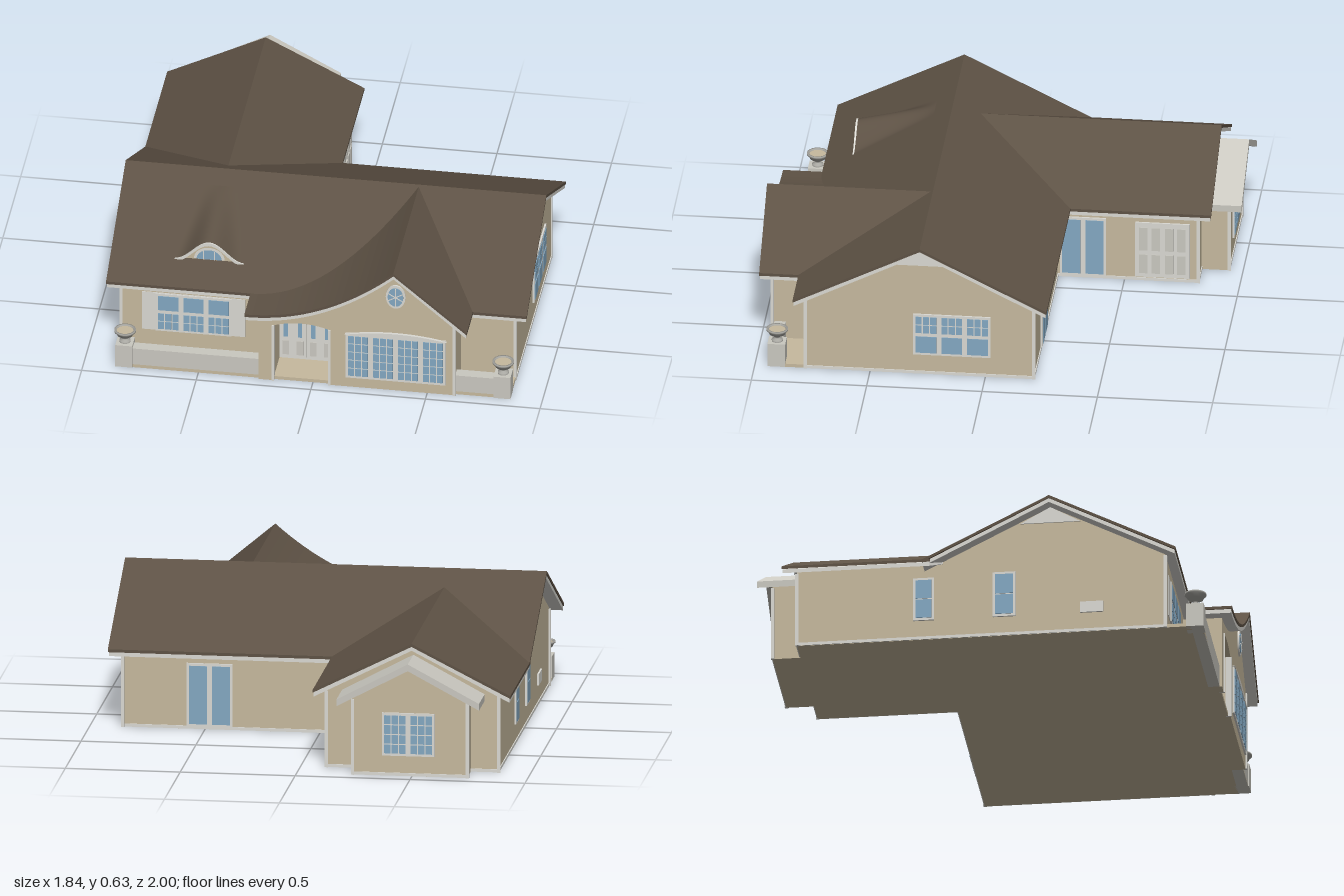
import * as THREE from 'three';
import { ParametricGeometry } from 'three/addons/geometries/ParametricGeometry.js';

const mat = (name, color, side = THREE.FrontSide) => {
  const m = new THREE.MeshStandardMaterial({ color, side });
  m.name = name;
  return m;
};

export function createModel() {
  const house = new THREE.Group();
  house.name = 'house';
  const wall = mat('tan stucco', 0xc6b99e);
  const roof = mat('brown shingle', 0x5e5245, THREE.DoubleSide);
  const trim = mat('white trim', 0xdad9d3);
  const stone = mat('pale stone', 0xcac8c0);
  const glass = mat('blue glass', 0x83a8c2);
  const urnGrey = mat('urn grey', 0xa9a8a2, THREE.DoubleSide);

  const add = (name, geo, m, parent = house) => {
    const mesh = new THREE.Mesh(geo, m);
    mesh.name = name;
    parent.add(mesh);
    return mesh;
  };
  // Box given by its two extreme corners
  const box = (name, m, x0, x1, y0, y1, z0, z1, parent = house) =>
    add(name, new THREE.BoxGeometry(x1 - x0, y1 - y0, z1 - z0)
      .translate((x0 + x1) / 2, (y0 + y1) / 2, (z0 + z1) / 2), m, parent);
  const shapeOf = pts => new THREE.Shape(pts.map(p => new THREE.Vector2(p[0], p[1])));
  const extrude = (shape, z0, z1) =>
    new THREE.ExtrudeGeometry(shape, { depth: z1 - z0, bevelEnabled: false, curveSegments: 16 }).translate(0, 0, z0);

  // Sheet that follows a roof profile, from `a` to `b` below its surface
  const sheet = (pts, a, b, z0, z1) => extrude(shapeOf([
    ...pts.map(p => [p[0], p[1] - a]),
    ...pts.slice().reverse().map(p => [p[0], p[1] - b])]), z0, z1);
  // Shingle layer with a trim layer (fascia and soffit) under it
  const roofPair = (name, pts, z0, z1, edit) => {
    const n = pts.length - 1;
    const inner = pts.map((p, i) => i === 0 ? [p[0] + 0.004, p[1]] : i === n ? [p[0] - 0.004, p[1]] : p);
    const top = sheet(pts, 0, 0.013, z0, z1);
    const under = sheet(inner, 0.013, 0.031, z0 + 0.004, z1 - 0.004);
    [top, under].forEach(edit);
    add(name + 'Shingles', top, roof);
    add(name + 'Fascia', under, trim);
  };
  // Pull one end of a roof back to the slope of the main roof
  const meetMain = (geo, side) => {
    const p = geo.attributes.position;
    for (let i = 0; i < p.count; i++) {
      const z = p.getZ(i), run = Math.max(0, (p.getY(i) - 0.355) * 2);
      if (side > 0 && z < 0.5) p.setZ(i, Math.max(0.28, 0.80 - run));
      if (side < 0 && z > 0) p.setZ(i, Math.min(0.28, -0.24 + run));
    }
    geo.computeVertexNormals();
  };

  // Main block, ridge along x
  const turn = g => g.rotateY(Math.PI / 2);
  add('mainWalls', turn(extrude(shapeOf([[-0.78, 0], [0.21, 0], [0.21, 0.352], [-0.28, 0.601], [-0.78, 0.352]]), -0.86, 0.86)), wall);
  roofPair('mainRoof', [[-0.83, 0.355], [-0.28, 0.63], [0.27, 0.355]], -0.92, 0.915, turn);
  for (const s of [-1, 1]) {
    const z = s > 0 ? 0.86 : -0.865;
    add('gableVent', turn(extrude(shapeOf([[-0.41, 0.525], [-0.15, 0.525], [-0.28, 0.598]]), z, z + 0.005)), trim);
  }

  // Back wing, ridge along z
  add('wingWalls', extrude(shapeOf([[-0.86, 0], [-0.11, 0], [-0.11, 0.349], [-0.49, 0.541], [-0.86, 0.354]]), -0.82, 0.1), wall);
  roofPair('wingRoof', [[-0.92, 0.355], [-0.49, 0.572], [-0.06, 0.355]], -0.88, 0.2, g => meetMain(g, -1));

  // Small bay behind the wing, with a pale roof
  add('bayWalls', extrude(shapeOf([[-0.74, 0], [-0.24, 0], [-0.24, 0.346], [-0.49, 0.481], [-0.74, 0.346]]), -0.94, -0.8), wall);
  add('bayRoof', sheet([[-0.8, 0.345], [-0.49, 0.51], [-0.18, 0.345]], 0, 0.03, -1, -0.81), stone);

  // Front gable: a long concave sweep on one side, straight on the other
  const sweepY = x => x > 0.36 ? 0.625 - (x - 0.36) * 0.844 : 0.355 + 0.27 * Math.pow((x + 0.29) / 0.65, 2.1);
  const sweep = (x0, x1, drop) => {
    const pts = [];
    for (let i = 0; i <= 20; i++) {
      const x = x0 + (0.36 - x0) * i / 20;
      pts.push([x, sweepY(x) - drop]);
    }
    return [...pts, [x1, sweepY(x1) - drop]];
  };
  roofPair('frontGableRoof', sweep(-0.29, 0.68, 0), 0.29, 1, g => meetMain(g, 1));
  const face = new THREE.Shape();
  face.moveTo(-0.235, 0).lineTo(-0.17, 0).lineTo(-0.17, 0.28);
  face.quadraticCurveTo(-0.05, 0.32, 0.07, 0.28).lineTo(0.07, 0).lineTo(0.62, 0);
  sweep(-0.235, 0.62, 0.03).reverse().forEach(p => face.lineTo(p[0], p[1]));
  add('frontGableWalls', extrude(face, 0.77, 0.95), wall);

  // Openings are built facing +z, then placed on a wall
  const place = (name, x, y, z, rot = 0) => {
    const g = new THREE.Group();
    g.name = name;
    g.position.set(x, y, z);
    g.rotation.y = rot;
    house.add(g);
    return g;
  };
  // Frame board with a grid of glass panes for each unit
  const panes = (g, x0, x1, y0, y1, units, cols, rows, border = 0.011, bar = 0.005) => {
    box('frame', trim, x0, x1, y0, y1, -0.004, 0.008, g);
    const uw = (x1 - x0) / units;
    const cw = (uw - 2 * border + bar) / cols, ch = (y1 - y0 - 2 * border + bar) / rows;
    for (let u = 0; u < units; u++) for (let c = 0; c < cols; c++) for (let r = 0; r < rows; r++) {
      const x = x0 + u * uw + border + c * cw, y = y0 + border + r * ch;
      box('pane', glass, x, x + cw - bar, y, y + ch - bar, 0.006, 0.011, g);
    }
  };
  const R = Math.PI / 2;

  const leftWin = place('leftFrontWindow', -0.545, 0.1, 0.78);
  box('surround', trim, -0.225, 0.225, 0, 0.19, -0.004, 0.003, leftWin);
  panes(leftWin, -0.165, 0.165, 0, 0.1, 3, 3, 2);
  panes(leftWin, -0.165, 0.165, 0.095, 0.188, 3, 1, 1);

  const big = place('frontWindowRow', 0.363, 0.05, 0.95);
  panes(big, -0.218, 0.218, 0, 0.225, 4, 3, 5, 0.012);
  const head = new THREE.Shape();
  head.moveTo(-0.222, 0.22).lineTo(0.222, 0.22).quadraticCurveTo(0, 0.265, -0.222, 0.22);
  add('archedHeader', extrude(head, -0.002, 0.012), trim, big);

  const side = place('sideWindow', 0.86, 0.095, 0.145, R);
  panes(side, -0.168, 0.168, 0, 0.1, 3, 1, 1);
  panes(side, -0.168, 0.168, 0.095, 0.195, 3, 3, 2);

  panes(place('wingSlidingDoor', -0.11, 0.012, -0.32, R), -0.1, 0.1, 0, 0.28, 2, 1, 1);
  panes(place('backSlidingDoor', 0.48, 0.012, -0.21, Math.PI), -0.1, 0.1, 0, 0.28, 2, 1, 1);
  panes(place('backSmallWindow', -0.06, 0.15, -0.21, Math.PI), -0.035, 0.035, 0, 0.13, 1, 1, 2);
  panes(place('bayWindow', -0.485, 0.09, -0.94, Math.PI), -0.115, 0.115, 0, 0.19, 2, 3, 4);
  panes(place('leftRearWindow', -0.86, 0.09, -0.27, -R), -0.045, 0.045, 0, 0.2, 1, 1, 2);
  panes(place('leftMiddleWindow', -0.86, 0.09, 0.08, -R), -0.05, 0.05, 0, 0.21, 1, 1, 2);
  box('wallVent', trim, -0.868, -0.855, 0.09, 0.14, 0.41, 0.51);

  // Panelled double door on the wing
  const doors = place('wingDoubleDoor', -0.11, 0.02, -0.665, R);
  box('doorBoard', trim, -0.118, 0.118, 0, 0.262, -0.004, 0.008, doors);
  for (const x of [-0.082, -0.029, 0.029, 0.082]) for (const [y0, y1] of [[0.02, 0.11], [0.13, 0.24]])
    box('doorPanel', stone, x - 0.018, x + 0.018, y0, y1, 0, 0.013, doors);

  // Recessed front entry with two leaves and sidelights
  const entry = place('entryDoor', -0.05, 0.015, 0.78);
  box('doorBoard', trim, -0.12, 0.12, 0, 0.295, -0.004, 0.006, entry);
  for (const [x, w, gw] of [[-0.091, 0.044, 0.02], [-0.029, 0.052, 0.018], [0.029, 0.052, 0.018], [0.091, 0.044, 0.02]]) {
    box('leaf', trim, x - w / 2, x + w / 2, 0.01, 0.26, 0, 0.014, entry);
    box('leafPanel', stone, x - 0.014, x + 0.014, 0.025, 0.095, 0, 0.018, entry);
    box('leafGlass', glass, x - gw / 2, x + gw / 2, 0.115, 0.245, 0, 0.018, entry);
  }
  // Slim casing around the entry opening
  box('entryCasing', trim, -0.178, -0.168, 0, 0.28, 0.93, 0.956);
  box('entryCasing', trim, 0.068, 0.078, 0, 0.28, 0.93, 0.956);

  // Oval window in the front gable
  const oval = place('ovalWindow', 0.363, 0.48, 0.95);
  for (const [n, m, r, d] of [['ovalFrame', trim, 0.058, 0.008], ['ovalGlass', glass, 0.046, 0.011]])
    add(n, new THREE.CylinderGeometry(r, r, d, 32).rotateX(R).scale(0.74, 1, 1), m, oval).position.z = d / 2;
  for (let i = 0; i < 3; i++) {
    const bar = add('ovalBar', new THREE.BoxGeometry(0.004, 0.088, 0.004), trim, oval);
    bar.position.z = 0.011;
    bar.rotation.z = i * Math.PI / 3;
    if (i) bar.scale.y = 0.85;
  }

  // Eyebrow dormer melting back into the main roof
  const bell = s => 0.09 * Math.pow(Math.cos(s * R), 2);
  add('dormerRoof', new ParametricGeometry((u, v, p) => {
    const s = u * 2 - 1, z = 0.7 - 0.34 * v;
    p.set(-0.49 + s * 0.15 * (1 - 0.5 * v), 0.63 - (z - 0.28) * 0.5 + bell(s) * (1 - v) + 0.001, z);
  }, 24, 10), roof);
  const dormer = place('dormerFront', -0.49, 0.42, 0.692);
  const bellPts = (k, y) => Array.from({ length: 25 }, (_, i) => [0.15 * (i / 12 - 1), bell(i / 12 - 1) * k + y]);
  add('dormerWall', extrude(shapeOf(bellPts(0.95, 0)), -0.01, 0.002), wall, dormer);
  add('dormerEdge', sheet(bellPts(1, 0.002), 0, 0.014, -0.006, 0.012), trim, dormer);
  for (const [n, m, r, z] of [['dormerFrame', trim, 0.067, 0.006], ['dormerGlass', glass, 0.055, 0.009]])
    add(n, new THREE.CircleGeometry(r, 24, 0, Math.PI).scale(1, 0.86, 1), m, dormer).position.set(0, 0.008, z);
  for (const x of [-0.024, 0.024]) box('dormerBar', trim, x - 0.002, x + 0.002, 0.008, 0.05, 0.008, 0.011, dormer);

  // Porch floor, low garden walls, posts and urns
  box('porchFloor', wall, -0.86, 0.86, 0, 0.015, 0.77, 0.94);
  box('lowWall', stone, -0.86, -0.235, 0, 0.095, 0.89, 0.94);
  box('lowWall', stone, 0.62, 0.86, 0, 0.095, 0.89, 0.94);
  const urnProfile = [[0.024, 0], [0.024, 0.008], [0.011, 0.014], [0.012, 0.022], [0.034, 0.034], [0.04, 0.048], [0.047, 0.052], [0.047, 0.06], [0.038, 0.06], [0.036, 0.05]];
  for (const s of [-1, 1]) {
    box('gatePost', stone, s * 0.825 - 0.037, s * 0.825 + 0.037, 0, 0.108, 0.868, 0.945);
    const urn = place('urn', s * 0.825, 0.108, 0.906);
    add('urnBowl', new THREE.LatheGeometry(urnProfile.map(p => new THREE.Vector2(...p)), 20), urnGrey, urn);
    add('urnSoil', new THREE.CircleGeometry(0.038, 20).rotateX(-R), wall, urn).position.y = 0.054;
  }

  // Corner boards and base boards
  for (const [x, z, h] of [[-0.86, 0.78, 0.34], [0.86, 0.78, 0.34], [0.86, -0.21, 0.34], [-0.86, -0.82, 0.34], [-0.11, -0.82, 0.34],
    [-0.74, -0.94, 0.335], [-0.24, -0.94, 0.335], [0.62, 0.95, 0.36]])
    box('cornerBoard', trim, x - 0.009, x + 0.005, 0, h, z - 0.007, z + 0.007);
  for (const [x0, x1, z0, z1] of [[0.855, 0.864, -0.21, 0.78], [-0.11, 0.86, -0.214, -0.205], [-0.115, -0.106, -0.82, -0.21],
    [-0.864, -0.855, -0.82, 0.78], [-0.74, -0.24, -0.944, -0.935], [-0.86, -0.11, -0.824, -0.815]])
    box('baseBoard', trim, x0, x1, 0.001, 0.014, z0, z1);

  return house;
}
